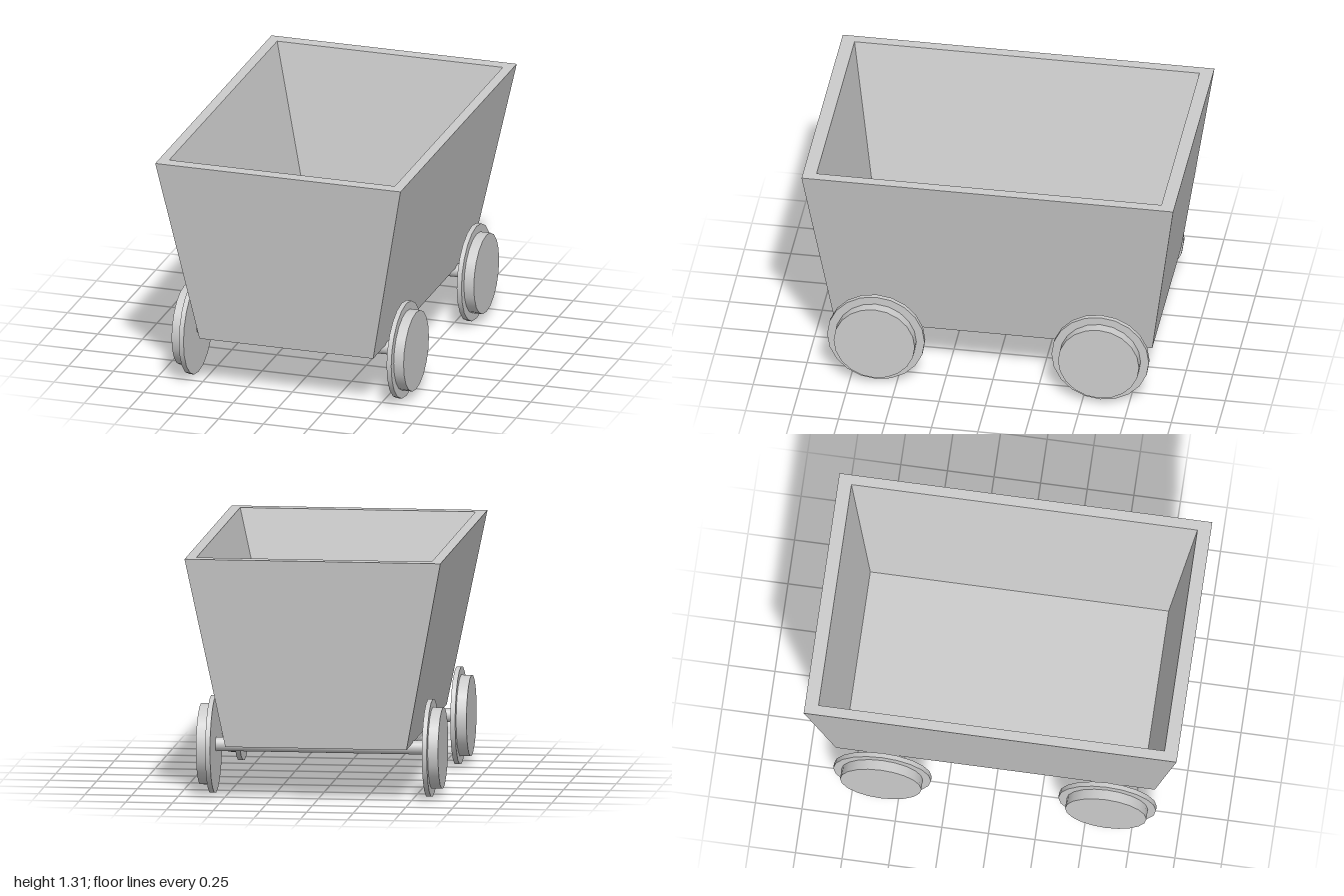
import * as THREE from 'three';

const material = new THREE.MeshStandardMaterial({ color: 0xcccccc });

// Rectangular ring of corners, counter-clockwise seen from above
const ring = (x, y, z) => [[-x, y, z], [x, y, z], [x, y, -z], [-x, y, -z]];

// Open tapered tub: outer walls, rim, inner walls, floor and underside
function tubGeometry() {
  const rings = [
    ring(0.485, 0.285, 0.855), // outer bottom
    ring(0.685, 1.31, 1.0),    // outer rim
    ring(0.63, 1.31, 0.928),   // inner rim
    ring(0.44, 0.52, 0.80),    // inner floor
  ];
  const positions = [];
  const quad = (a, b, c, d) => positions.push(...a, ...b, ...c, ...a, ...c, ...d);
  for (let r = 0; r < rings.length - 1; r++) {
    for (let i = 0; i < 4; i++) {
      const j = (i + 1) % 4;
      quad(rings[r][i], rings[r][j], rings[r + 1][j], rings[r + 1][i]);
    }
  }
  quad(...rings[3]);
  quad(...[...rings[0]].reverse());
  const geometry = new THREE.BufferGeometry();
  geometry.setAttribute('position', new THREE.Float32BufferAttribute(positions, 3));
  geometry.computeVertexNormals();
  return geometry;
}

// Cylinder lying along x between x0 and x1
function xCylinder(name, radius, x0, x1) {
  const geometry = new THREE.CylinderGeometry(radius, radius, x1 - x0, 20);
  geometry.rotateZ(Math.PI / 2);
  const mesh = new THREE.Mesh(geometry, material);
  mesh.name = name;
  mesh.position.x = (x0 + x1) / 2;
  return mesh;
}

// Flanged wheel on the +x side; turned half round for the other side
function wheel(name, side) {
  const group = new THREE.Group();
  group.name = name;
  group.add(xCylinder('flange', 0.262, 0.567, 0.593));
  group.add(xCylinder('tread', 0.218, 0.59, 0.648));
  if (side < 0) group.rotation.y = Math.PI;
  return group;
}

export function createModel() {
  const model = new THREE.Group();
  model.name = 'mineCart';

  const tub = new THREE.Mesh(tubGeometry(), material);
  tub.name = 'tub';
  model.add(tub);

  // Two wheel sets, each an axle with a wheel at both ends
  for (const [name, z] of [['front', 0.615], ['rear', -0.592]]) {
    const set = new THREE.Group();
    set.name = name + 'WheelSet';
    set.position.set(0, 0.262, z);
    set.add(xCylinder('axle', 0.037, -0.57, 0.57));
    set.add(wheel('leftWheel', 1), wheel('rightWheel', -1));
    model.add(set);
  }
  return model;
}
